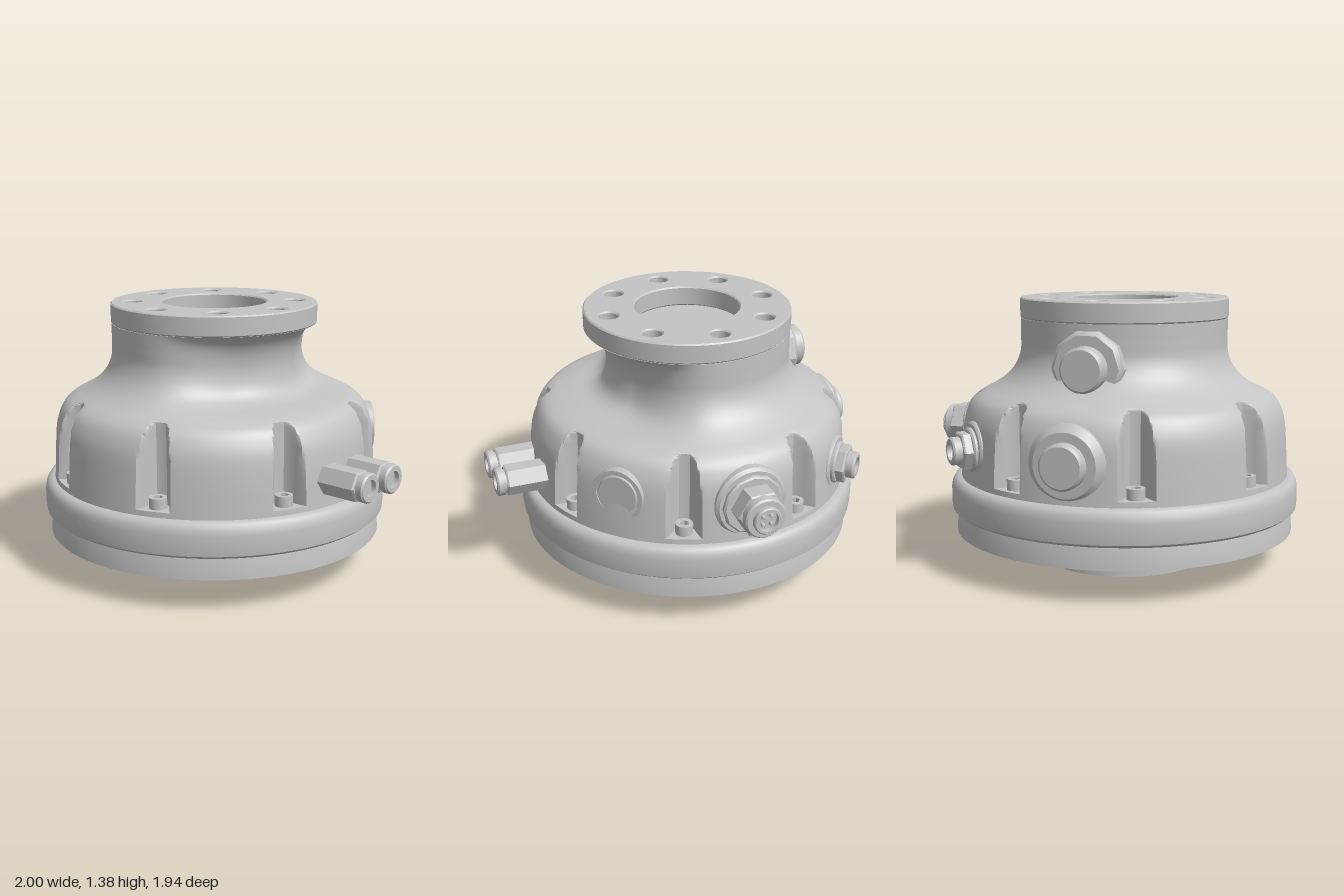
import * as THREE from 'three';
import { toCreasedNormals } from 'three/addons/utils/BufferGeometryUtils.js';

const metal = new THREE.MeshStandardMaterial({ color: 0xc4c4c4 });
metal.name = 'castMetal';

const V = (x, y) => new THREE.Vector2(x, y);
const rad = THREE.MathUtils.degToRad;

function mesh(name, geometry, crease = 0.6) {
  const m = new THREE.Mesh(toCreasedNormals(geometry, crease), metal);
  m.name = name;
  return m;
}

// Revolved part; profile is [radius, height] pairs from bottom to top
function turned(name, profile, sides = 32) {
  return mesh(name, new THREE.LatheGeometry(profile.map(p => V(...p)), sides));
}

// Solid or bored plug lying along +x, from a to b
function plug(name, r, a, b, sides = 32, bore = 0, depth = 0.04, chamfer = 0.008) {
  const profile = [[r, a], [r, b - chamfer], [r - chamfer, b]];
  if (bore) profile.push([bore, b], [bore, b - depth], [0, b - depth]);
  else profile.push([0, b]);
  const m = turned(name, profile, sides);
  m.geometry.rotateZ(-Math.PI / 2);
  return m;
}

// Group pointing outwards from the main axis at an angle (0 = +x, 90 = +z)
function outward(name, degrees, y, ...parts) {
  const g = new THREE.Group();
  g.name = name;
  g.rotation.y = -rad(degrees);
  g.position.y = y;
  g.add(...parts);
  return g;
}

// Bell housing with eight bolt pockets and a scoop under the flange on +x
function housing() {
  const spline = pts => new THREE.SplineCurve(pts.map(p => V(...p)));
  const plain = spline([[0.852, 0.49], [0.845, 0.62], [0.835, 0.74], [0.815, 0.81], [0.785, 0.86],
    [0.74, 0.893], [0.68, 0.925], [0.615, 0.97], [0.565, 1.03], [0.538, 1.1], [0.535, 1.17],
    [0.535, 1.22], [0.535, 1.25], [0.535, 1.27]]);
  const scooped = spline([[0.852, 0.49], [0.845, 0.62], [0.832, 0.74], [0.81, 0.81], [0.775, 0.865],
    [0.72, 0.893], [0.62, 0.912], [0.51, 0.93], [0.45, 0.975], [0.425, 1.06], [0.43, 1.14],
    [0.455, 1.205], [0.495, 1.25], [0.535, 1.27]]);

  // Columns are closer together around each pocket
  const half = [2, 3.5, 4.4, 5.2, 6, 7, 9, 12, 15.5, 19];
  const offsets = [-22.5, ...half.map(a => -a).reverse(), 0, ...half];
  const columns = [];
  for (let k = 0; k < 8; k++) for (const o of offsets) columns.push({ a: rad(22.5 + 45 * k + o), o: Math.abs(o) });
  const pocketRadius = o => 0.73 + Math.max(0, o - 3) * 0.04 + (o < 3 ? o * o * 0.0008 : 0.007);

  const rows = [{ p: V(0.855, 0.43), q: V(0.855, 0.43) }, { p: V(0.852, 0.49), q: V(0.852, 0.49) }];
  const steps = 52;
  for (let i = 0; i <= steps; i++) {
    rows.push({ p: plain.getPoint(i / steps), q: scooped.getPoint(i / steps), cut: true });
  }
  rows.push({ p: V(0, 1.27), q: V(0, 1.27) });

  const positions = [], index = [], n = columns.length;
  rows.forEach(({ p, q, cut }, i) => columns.forEach(({ a, o }, j) => {
    const turn = Math.abs(Math.atan2(Math.sin(a), Math.cos(a)));
    const w = 1 - THREE.MathUtils.smoothstep(turn, rad(28), rad(82));
    const y = p.y + (q.y - p.y) * w;
    let r = p.x + (q.x - p.x) * w;
    if (cut) r = Math.min(r, pocketRadius(o));
    positions.push(r * Math.cos(a), y, r * Math.sin(a));
    if (i === rows.length - 1) return;
    const k = (j + 1) % n, s = i * n;
    index.push(s + j, s + n + j, s + n + k, s + j, s + n + k, s + k);
  }));
  const g = new THREE.BufferGeometry();
  g.setAttribute('position', new THREE.Float32BufferAttribute(positions, 3));
  g.setIndex(index);
  return mesh('housing', g, 0.55);
}

// Disc with a bore and a circle of bolt holes
function flange() {
  const circle = (Type, x, y, r) => new Type().absarc(x, y, r, 0, Math.PI * 2, false);
  const shape = circle(THREE.Shape, 0, 0, 0.538);
  shape.holes.push(circle(THREE.Path, 0, 0, 0.272));
  for (let i = 0; i < 8; i++) {
    const a = i * Math.PI / 4;
    shape.holes.push(circle(THREE.Path, 0.425 * Math.cos(a), 0.425 * Math.sin(a), 0.05));
  }
  const g = new THREE.ExtrudeGeometry(shape, {
    depth: 0.091, bevelThickness: 0.007, bevelSize: 0.007, bevelOffset: -0.007,
    bevelSegments: 1, curveSegments: 32,
  });
  g.rotateX(-Math.PI / 2).translate(0, 1.277, 0);
  return mesh('topFlange', g);
}

export function createModel() {
  const model = new THREE.Group();
  model.name = 'flangedHousing';
  const body = new THREE.Group();
  body.name = 'body';
  body.position.set(-0.085, 0, 0.06);
  model.add(body);

  // Spigot, base plate and rounded rim
  body.add(turned('spigot', [[0, 0], [0.42, 0], [0.42, 0.2]], 64));
  body.add(turned('basePlate', [[0, 0.175], [0.882, 0.175], [0.875, 0.275], [0.865, 0.31]], 96));
  body.add(turned('rim', [[0.8, 0.285], [0.885, 0.285], [0.903, 0.3], [0.906, 0.33], [0.906, 0.4],
    [0.901, 0.43], [0.888, 0.453], [0.868, 0.463], [0.8, 0.463]], 96));
  body.add(housing(), flange());

  // Socket-head bolts standing in the pockets
  const head = new THREE.Shape().absarc(0, 0, 0.044, 0, Math.PI * 2, false);
  const socket = new THREE.Path();
  for (let i = 0; i < 6; i++) {
    const a = i * Math.PI / 3;
    socket[i ? 'lineTo' : 'moveTo'](0.024 * Math.cos(a), 0.024 * Math.sin(a));
  }
  socket.closePath();
  head.holes.push(socket);
  const boltGeometry = new THREE.ExtrudeGeometry(head, { depth: 0.055, bevelEnabled: false, curveSegments: 12 });
  boltGeometry.rotateX(-Math.PI / 2);
  for (let i = 0; i < 8; i++) {
    const bolt = mesh('bolt', boltGeometry);
    bolt.position.set(0.785, 0, 0);
    body.add(outward('boltMount', 22.5 + 45 * i, 0.488, bolt));
  }

  // Pair of hexagonal push-in fittings
  for (const z of [-0.098, 0.098]) {
    const parts = [plug('fittingHex', 0.08, 0.75, 1.035, 6),
      plug('fittingNeck', 0.06, 1.0, 1.06, 20),
      plug('fittingCollar', 0.074, 1.045, 1.085, 20, 0.042, 0.03)];
    parts.forEach(p => { p.position.z = z; });
    body.add(outward('pushFitting', 0, 0.6, ...parts));
  }

  // Shallow round cover
  body.add(outward('roundCover', -45, 0.69,
    plug('coverRim', 0.135, 0.7, 0.843, 40, 0.115, 0.006, 0.004),
    plug('coverFace', 0.106, 0.7, 0.843, 40)));

  // Rear cable connector with pins
  const connector = outward('rearConnector', -90, 0.66,
    plug('connectorPad', 0.185, 0.7, 0.85, 32, 0, 0, 0.015),
    plug('connectorWasher', 0.155, 0.8, 0.875, 12),
    plug('connectorHex', 0.122, 0.85, 0.97, 6),
    plug('connectorSleeve', 0.105, 0.95, 1.01, 20),
    plug('connectorTip', 0.07, 1.0, 1.035, 20, 0.054, 0.025, 0.005));
  for (let i = 0; i < 4; i++) {
    const pin = plug('connectorPin', 0.01, 1.0, 1.03, 8, 0, 0, 0.003);
    const a = (i + 0.5) * Math.PI / 2;
    pin.position.set(0, 0.03 * Math.sin(a), 0.03 * Math.cos(a));
    connector.add(pin);
  }
  body.add(connector);

  // Smaller hexagonal vent
  body.add(outward('hexVent', -135, 0.64,
    plug('ventPad', 0.14, 0.7, 0.845, 32, 0, 0, 0.01),
    plug('ventWasher', 0.11, 0.8, 0.865, 24),
    plug('ventHex', 0.1, 0.8, 0.91, 6),
    plug('ventCap', 0.07, 0.85, 0.955, 20, 0.045, 0.03)));

  // Round plugs on the side of the housing and on the neck
  body.add(outward('sidePlug', 180, 0.65,
    plug('sidePlugPad', 0.19, 0.7, 0.862, 40, 0, 0, 0.035),
    plug('sidePlugCap', 0.11, 0.8, 0.915, 32, 0, 0, 0.012)));
  const neckPad = plug('neckPlugPad', 0.185, 0.42, 0.572, 10, 0, 0, 0.02);
  body.add(outward('neckPlug', 180, 1.06, neckPad,
    plug('neckPlugCap', 0.11, 0.5, 0.648, 32, 0, 0, 0.012)));

  return model;
}
